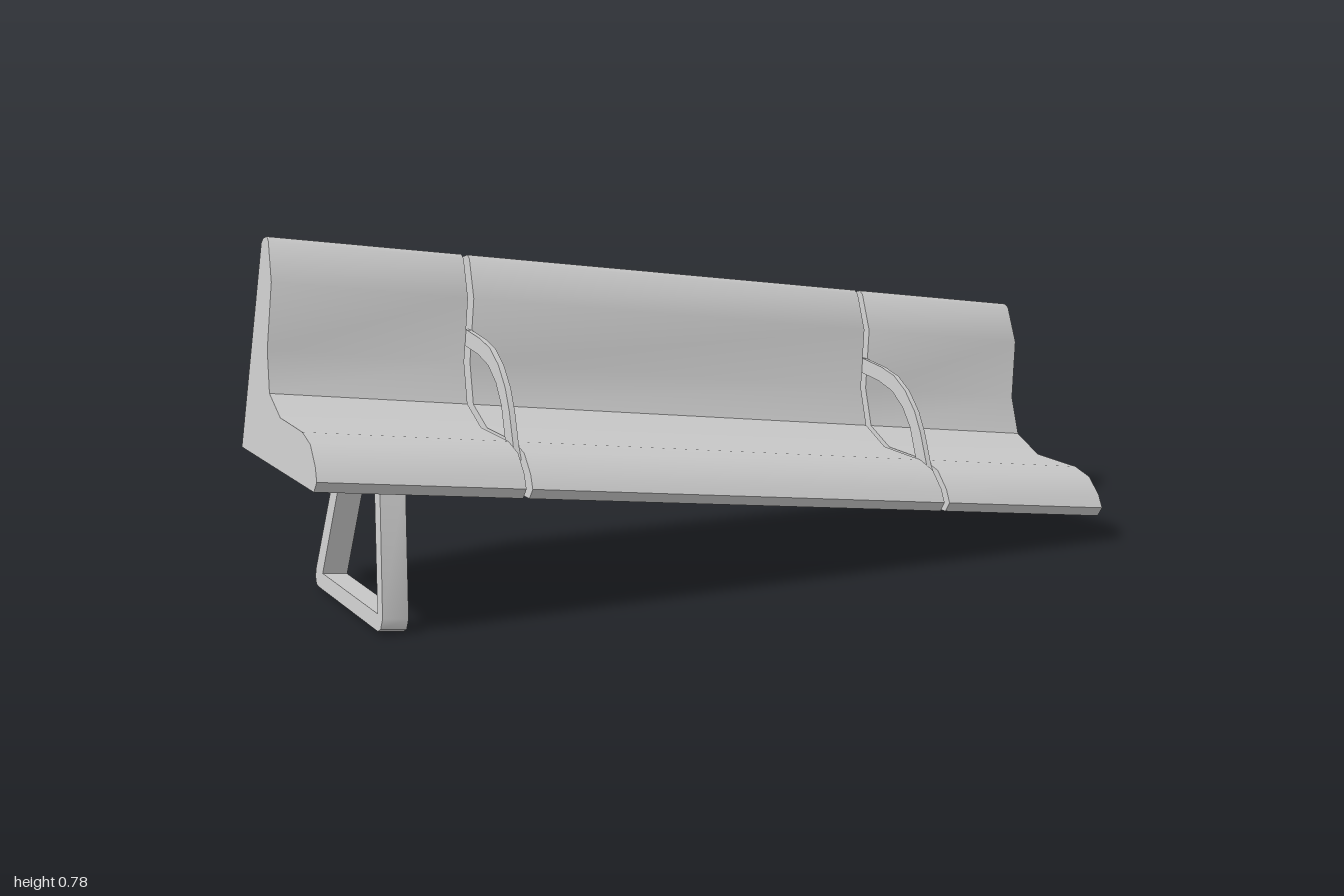
import * as THREE from 'three';
import { toCreasedNormals } from 'three/addons/utils/BufferGeometryUtils.js';

const LENGTH = 1.955, GAP = 0.014, TILT = -0.134;
const JOINTS = [0.452, 1.499];

// Side outlines as [z, height above the underside]
const SEAT = [
  [0.25, 0], [0.262, 0.022], [0.243, 0.05], [0.2, 0.086], [0.143, 0.101],
  [-0.01, 0.105], [-0.1, 0.142], [-0.145, 0.229], [-0.162, 0.37],
  [-0.212, 0.453], [-0.227, 0.461], [-0.252, 0.455], [-0.262, 0.444], [-0.262, 0],
];
const ARM = [
  [0.19, 0.07], [0.172, 0.093], [0.13, 0.163], [0.095, 0.208], [0.045, 0.25],
  [-0.01, 0.278], [-0.07, 0.291], [-0.152, 0.3], [-0.175, 0.3], [-0.175, 0.265],
  [-0.147, 0.265], [-0.07, 0.256], [-0.01, 0.241], [0.042, 0.211],
  [0.085, 0.168], [0.122, 0.105], [0.142, 0.07],
];
const LEG = [
  [0.185, -0.296], [0.2, -0.288], [0.205, -0.265], [0.1, 0.02], [0.065, 0.02],
  [0.173, -0.262], [-0.19, -0.262], [-0.125, 0.02], [-0.168, 0.02],
  [-0.237, -0.258], [-0.237, -0.278], [-0.225, -0.293], [-0.212, -0.296],
];

const material = new THREE.MeshStandardMaterial({ color: 0xcccccc });

// Extrude a side outline along the bench from x0 to x1
function slab(name, outline, x0, x1) {
  const shape = new THREE.Shape(outline.map(([z, y]) => new THREE.Vector2(-z, y)));
  const geometry = new THREE.ExtrudeGeometry(shape, { depth: x1 - x0, bevelEnabled: false });
  geometry.rotateY(Math.PI / 2).translate(x0, 0, 0);
  const mesh = new THREE.Mesh(toCreasedNormals(geometry, 0.6), material);
  mesh.name = name;
  return mesh;
}

export function createModel() {
  const model = new THREE.Group();
  model.name = 'bench';

  // Everything leans along one slope, starting from the high end
  const bench = new THREE.Group();
  bench.name = 'tiltedBench';
  bench.position.set(-1, 0.325, 0);
  bench.rotation.z = TILT;
  model.add(bench);

  // Three seat sections separated by narrow joints
  const cuts = [0, ...JOINTS, LENGTH];
  for (let i = 0; i < 3; i++) {
    const start = cuts[i] + (i > 0 ? GAP / 2 : 0);
    const end = cuts[i + 1] - (i < 2 ? GAP / 2 : 0);
    bench.add(slab('seatSection', SEAT, start, end));
  }

  // Curved armrest standing in each joint
  for (const x of JOINTS) {
    bench.add(slab('armrest', ARM, x - GAP / 2 + 0.0005, x + GAP / 2 - 0.0005));
  }

  // Single leg frame under the high end
  bench.add(slab('legFrame', LEG, 0.185, 0.241));

  return model;
}
